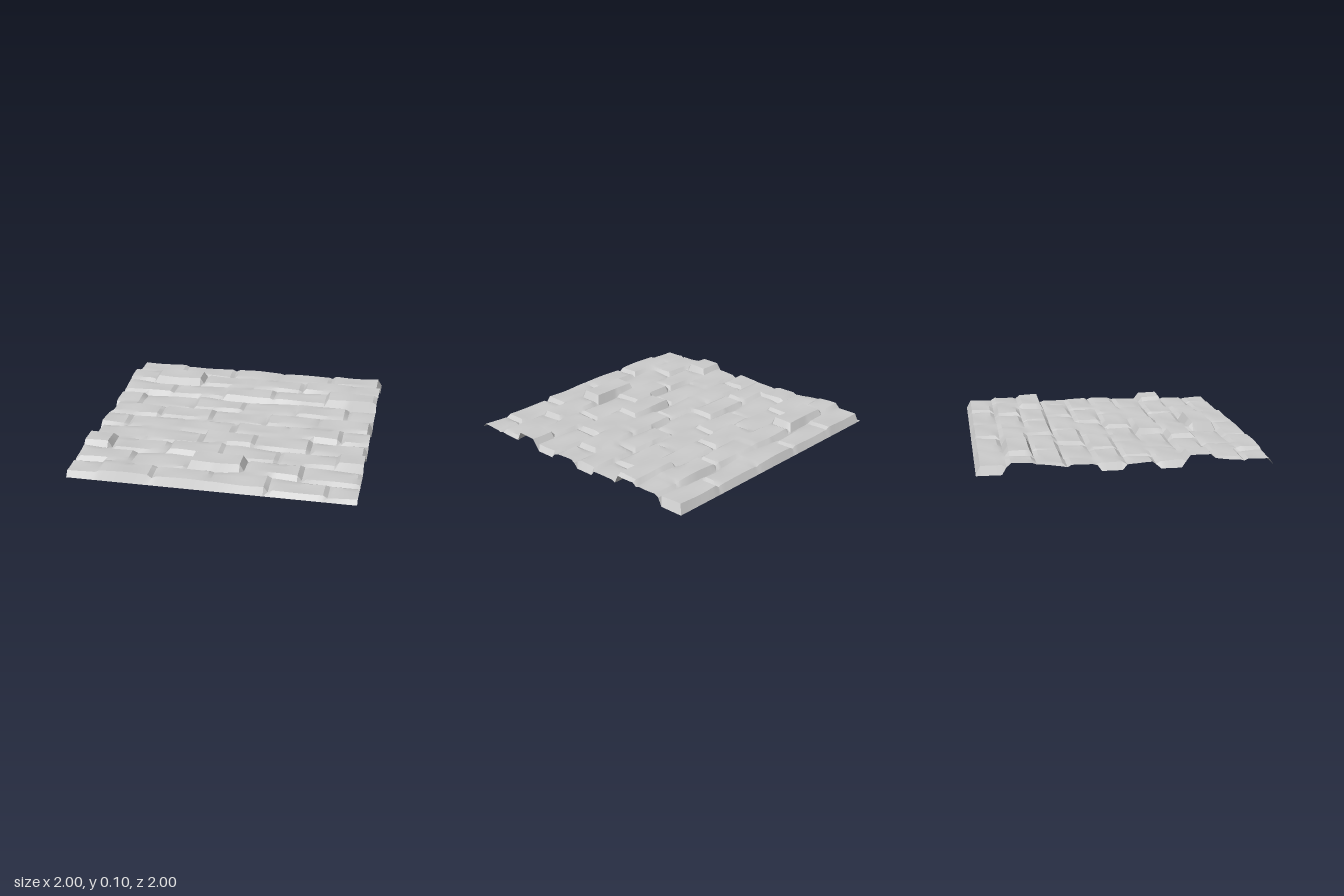
import * as THREE from 'three';
import { toCreasedNormals } from 'three/addons/utils/BufferGeometryUtils.js';

// Stone heights, row by row from back to front, left to right.
// Even rows hold five whole stones; odd rows are shifted by half a stone.
const ROWS = [
  [0.06, 0.05, 0.055, 0.05, 0.06],
  [0.075, 0.1, 0.07, 0.07, 0.08, 0.075],
  [0.06, 0.055, 0.07, 0.065, 0.1],
  [0.05, 0.03, 0.045, 0.04, 0.05, 0.035],
  [0.05, 0.05, 0.035, 0.05, 0.05],
  [0.045, 0.045, 0.04, 0.055, 0.06, 0.045],
  [0.045, 0.04, 0.07, 0.055, 0.04],
  [0.085, 0.05, 0.07, 0.05, 0.05, 0.08],
  [0.06, 0.045, 0.1, 0.06, 0.035],
  [0.045, 0.065, 0.06, 0.055, 0.035, 0.025],
];
const ROW = 0.2, STONE = 0.4, BEVEL = 0.03;
const STEPS = [0, 0.03, 0.065, 0.1, 0.135, 0.17];
const clamp = THREE.MathUtils.clamp;

const rowAt = (z) => clamp(Math.floor((z + 1) / ROW), 0, 9);

// Worn top of the stone under a point
function stoneTop(x, z) {
  const r = rowAt(z);
  const i = Math.floor((x + 1 + (r % 2 ? ROW : 0)) / STONE);
  const h = ROWS[r][clamp(i, 0, ROWS[r].length - 1)];
  const wear = Math.sin(x * 13 + r * 2.3 + i) * Math.cos(z * 17 + i * 1.7);
  return Math.min(0.103, h + 0.005 * wear);
}

// Stone tops, with bevels falling to the joints between them
function surfaceHeight(x, z) {
  const e = 1e-4, d = 0.02;
  const r = rowAt(z + e);
  const shift = r % 2 ? ROW : 0;
  const inStone = (x + 1 + shift + e) % STONE;
  const inRow = (z + 1 + e) % ROW;
  const onXJoint = inStone < 0.01;
  const onZJoint = inRow < 0.01;
  // Outer rim
  if (Math.abs(z) > 1 - e) return 0;
  if (Math.abs(x) > 1 - e && [0, 4, 6].includes(rowAt(z - e)) && [0, 4, 6].includes(r)) return 0;
  if (!onXJoint && !onZJoint) return stoneTop(x, z);
  let low = 1;
  for (const sx of [-d, d]) for (const sz of [-d, d]) {
    low = Math.min(low, stoneTop(clamp(x + sx, -1, 1), clamp(z + sz, -1, 1)));
  }
  // Joint depth varies along the courses
  const depth = 0.008 + 0.008 * Math.sin(x * 7 + z * 11);
  return Math.max(0, low - depth);
}

// Grid lines that fall on joints and bevel edges
function gridLines() {
  const lines = [];
  for (let k = 0; k < 10; k++) for (const s of STEPS) lines.push(-1 + k * ROW + s * (BEVEL / 0.03));
  lines.push(1);
  return lines;
}

export function createModel() {
  const group = new THREE.Group();
  group.name = 'stonePaving';

  const lines = gridLines();
  const n = lines.length;
  const geometry = new THREE.PlaneGeometry(2, 2, n - 1, n - 1);
  const position = geometry.attributes.position;
  for (let j = 0; j < n; j++) {
    for (let i = 0; i < n; i++) {
      position.setXYZ(j * n + i, lines[i], surfaceHeight(lines[i], lines[j]), lines[j]);
    }
  }

  const material = new THREE.MeshStandardMaterial({ color: 0xcccccc, side: THREE.DoubleSide });
  const sheet = new THREE.Mesh(toCreasedNormals(geometry, 0.42), material);
  sheet.name = 'stoneSurface';
  group.add(sheet);
  return group;
}
